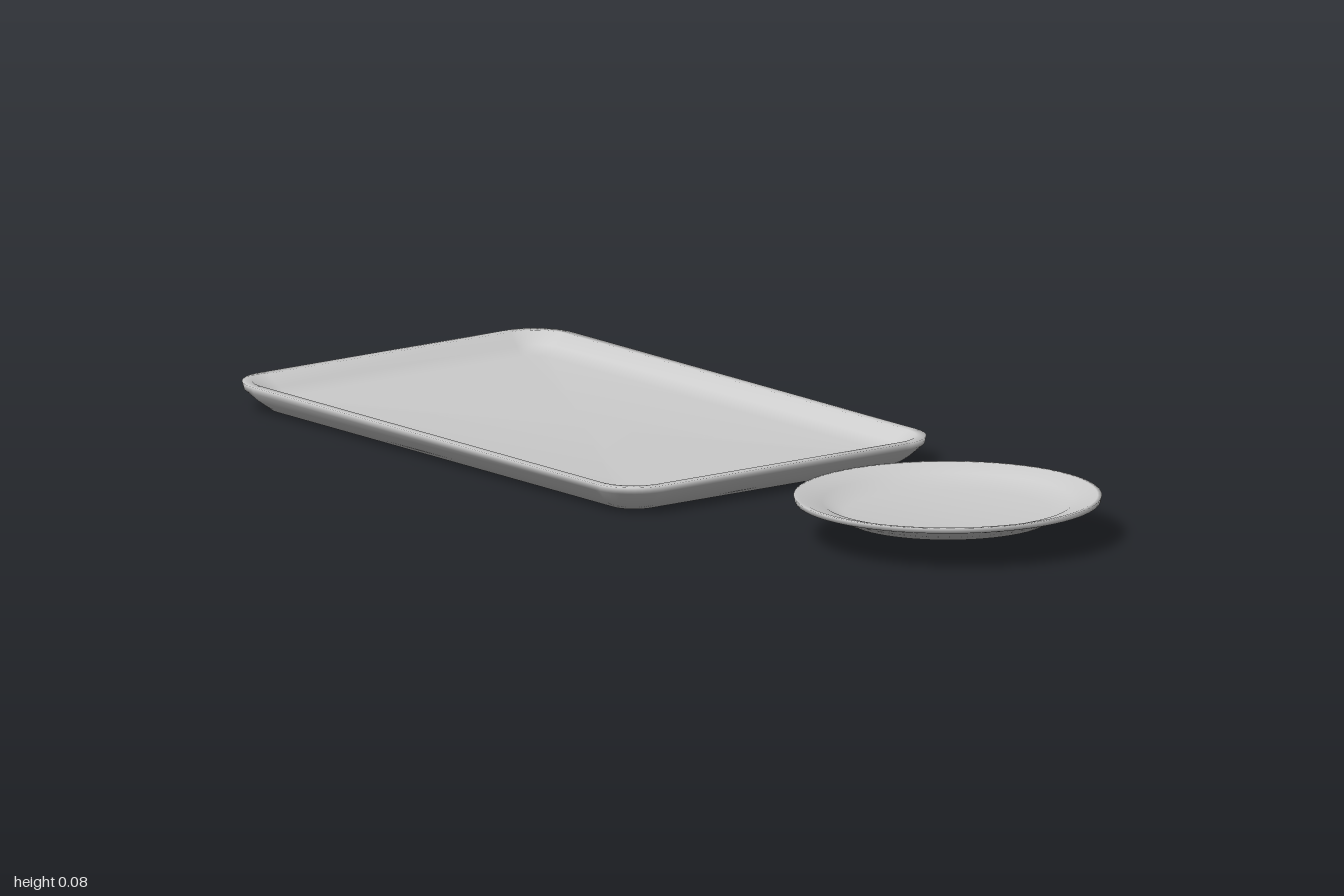
import * as THREE from 'three';

const material = new THREE.MeshStandardMaterial({ color: 0xcccccc });

// Closed skin over rounded-rectangle rings, each [halfWidth, halfDepth, cornerRadius, y]
function roundedRectLoft(rings, cornerSegments = 10) {
  const positions = [], indices = [];
  const count = 4 * (cornerSegments + 1);
  for (const [hx, hz, r, y] of rings) {
    for (let corner = 0; corner < 4; corner++) {
      const sx = corner === 0 || corner === 3 ? 1 : -1;
      const sz = corner < 2 ? 1 : -1;
      for (let i = 0; i <= cornerSegments; i++) {
        const a = (corner + i / cornerSegments) * Math.PI / 2;
        positions.push(sx * (hx - r) + r * Math.cos(a), y, sz * (hz - r) + r * Math.sin(a));
      }
    }
  }
  for (let k = 0; k < rings.length - 1; k++) {
    for (let i = 0; i < count; i++) {
      const j = (i + 1) % count;
      const a = k * count + i, b = k * count + j;
      indices.push(a, a + count, b, b, a + count, b + count);
    }
  }
  const geometry = new THREE.BufferGeometry();
  geometry.setAttribute('position', new THREE.Float32BufferAttribute(positions, 3));
  geometry.setIndex(indices);
  geometry.computeVertexNormals();
  return geometry;
}

export function createModel() {
  const group = new THREE.Group();

  // Rectangular tray: underside, flared wall, rim, then the recessed floor
  const W = 0.38, D = 0.61;
  const ring = (inset, r, y) => [W - inset, D - inset, r, y];
  const tray = new THREE.Mesh(roundedRectLoft([
    [0, 0, 0, 0],
    ring(0.05, 0.05, 0),
    ring(0.025, 0.07, 0.019),
    ring(0.002, 0.09, 0.04),
    ring(0, 0.09, 0.053),
    ring(0.018, 0.075, 0.053),
    ring(0.045, 0.055, 0.032),
    ring(0.07, 0.035, 0.017),
    [0, 0, 0, 0.017],
  ]), material);
  tray.name = 'tray';
  tray.position.z = -0.39;
  group.add(tray);

  // Round plate: flat foot, flared side, wide lip and shallow well
  const profile = [
    [0, 0.04], [0.195, 0.04], [0.237, 0.06], [0.286, 0.073], [0.288, 0.083],
    [0.28, 0.083], [0.235, 0.071], [0.193, 0.05], [0, 0.05],
  ].map(([r, y]) => new THREE.Vector2(r, y));
  const plate = new THREE.Mesh(new THREE.LatheGeometry(profile, 64), material);
  plate.name = 'plate';
  plate.position.z = 0.712;
  group.add(plate);

  return group;
}
